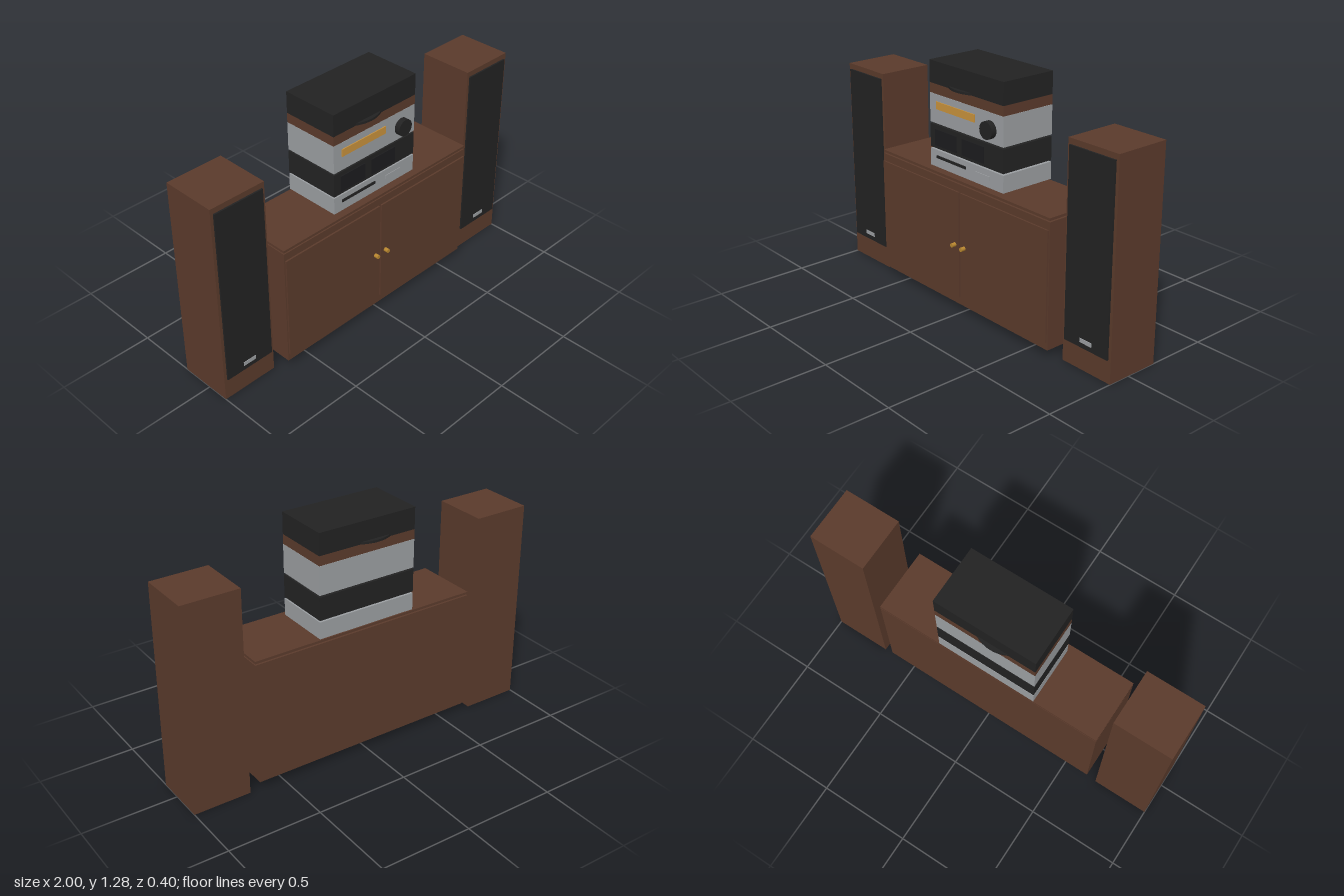
import * as THREE from 'three';

const mat = (name, color) => Object.assign(new THREE.MeshStandardMaterial({ color }), { name });

export function createModel() {
  const wood = mat('walnut', 0x5a3a2b);
  const black = mat('black', 0x222222);
  const dark = mat('dark glass', 0x1c1c1e);
  const silver = mat('silver', 0x9a9da0);
  const amber = mat('amber', 0xc8923c);
  const brass = mat('brass', 0xb8862f);
  const root = new THREE.Group();
  root.name = 'stereoSystem';

  const group = (name) => {
    const g = new THREE.Group();
    g.name = name;
    root.add(g);
    return g;
  };
  // Box given by its limits on each axis
  const box = (parent, name, m, [x0, x1], [y0, y1], [z0, z1]) => {
    const b = new THREE.Mesh(new THREE.BoxGeometry(x1 - x0, y1 - y0, z1 - z0), m);
    b.position.set((x0 + x1) / 2, (y0 + y1) / 2, (z0 + z1) / 2);
    b.name = name;
    parent.add(b);
  };
  // Cylinder lying along z, between two depths
  const knob = (parent, name, m, r, x, y, [z0, z1], sides) => {
    const g = new THREE.CylinderGeometry(r, r, z1 - z0, sides).rotateX(Math.PI / 2);
    const k = new THREE.Mesh(g, m);
    k.position.set(x, y, (z0 + z1) / 2);
    k.name = name;
    parent.add(k);
  };

  // Floor speakers and cabinet doors, mirrored
  const cabinet = group('cabinet');
  box(cabinet, 'cabinetBody', wood, [-0.638, 0.638], [0.043, 0.7], [-0.18, 0.17]);
  box(cabinet, 'cabinetTop', wood, [-0.638, 0.638], [0.707, 0.72], [-0.18, 0.17]);
  for (const s of [-1, 1]) {
    const span = (a, b) => (s > 0 ? [a, b] : [-b, -a]);
    const speaker = group(s > 0 ? 'leftSpeaker' : 'rightSpeaker');
    box(speaker, 'speakerBody', wood, span(0.692, 1), [0, 1.112], [-0.175, 0.121]);
    box(speaker, 'grille', black, span(0.707, 0.984), [0.12, 1.083], [0.121, 0.13]);
    box(speaker, 'badge', silver, span(0.81, 0.885), [0.147, 0.168], [0.13, 0.133]);
    box(cabinet, 'door', wood, span(0.006, 0.632), [0.085, 0.66], [0.17, 0.179]);
    knob(cabinet, 'doorKnob', brass, 0.011, s * 0.036, 0.372, [0.179, 0.203], 16);
  }

  // Stacked components share one footprint
  const X = [-0.277, 0.277], Z = [-0.18, 0.134], face = [0.134, 0.139];

  const disc = group('discPlayer');
  box(disc, 'discPlayerBody', silver, X, [0.725, 0.816], Z);
  box(disc, 'discSlot', black, [-0.225, 0], [0.774, 0.788], face);
  box(disc, 'discButtons', silver, [0.075, 0.182], [0.763, 0.784], [0.134, 0.137]);

  const tape = group('tapeDeck');
  box(tape, 'tapeDeckBody', black, X, [0.824, 0.947], Z);
  for (const x of [-0.235, -0.028]) {
    box(tape, 'tapeDoor', dark, [x, x + 0.165], [0.84, 0.926], face);
  }

  const receiver = group('receiver');
  box(receiver, 'receiverBody', silver, X, [0.956, 1.108], Z);
  box(receiver, 'tuningDisplay', amber, [-0.225, 0.07], [1.032, 1.072], face);
  knob(receiver, 'volumeKnob', black, 0.045, 0.182, 1.024, [0.134, 0.164], 32);

  // Turntable with closed dust cover; the platter pokes out front and back
  const turntable = group('turntable');
  box(turntable, 'plinth', wood, X, [1.109, 1.16], Z);
  box(turntable, 'dustCover', black, X, [1.16, 1.276], Z);
  const platter = new THREE.Mesh(new THREE.CylinderGeometry(0.178, 0.178, 0.012, 48), black);
  platter.position.set(-0.045, 1.165, -0.023);
  platter.name = 'platter';
  turntable.add(platter);

  return root;
}
